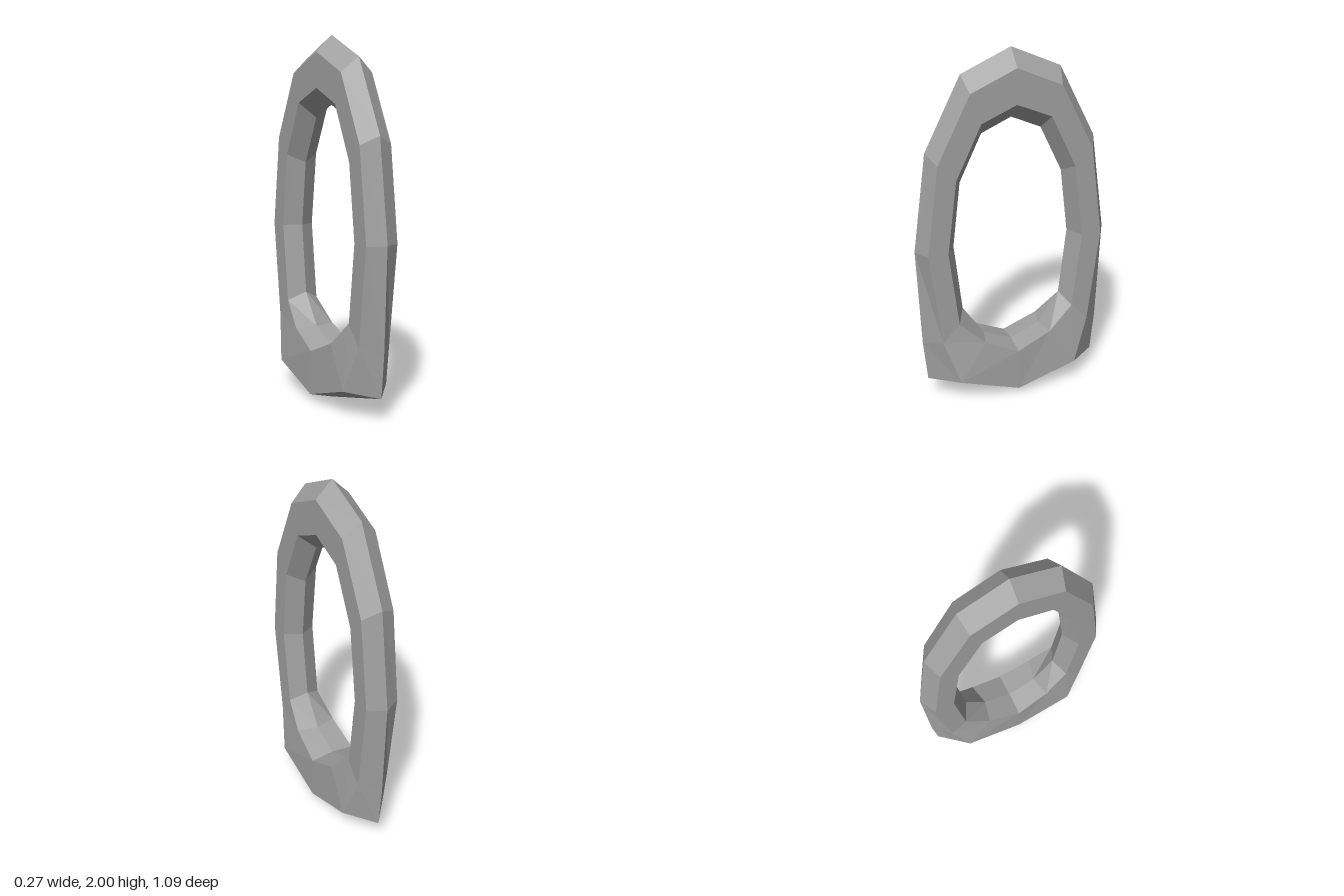
import * as THREE from 'three';

// Half ring from top to bottom, each row a cross-section:
// outer ridge z,y | outer edge z,y,x | inner edge z,y,x | inner ridge z,y
const HALF = [
  [0, 2, 0, 1.91, 0.095, 0, 1.72, 0.095, 0, 1.63],
  [0.272, 1.88, 0.25, 1.8, 0.095, 0.193, 1.638, 0.095, 0.165, 1.557],
  [0.472, 1.483, 0.43, 1.438, 0.095, 0.333, 1.345, 0.095, 0.287, 1.3],
  [0.546, 0.935, 0.495, 0.935, 0.095, 0.385, 0.935, 0.095, 0.33, 0.935],
  [0.523, 0.365, 0.43, 0.4, 0.095, 0.333, 0.5, 0.095, 0.287, 0.548],
  [0.5, 0.13, 0.342, 0.148, 0.137, 0.193, 0.37, 0.12, 0.165, 0.37],
  [0, 0, 0, 0.037, 0.137, 0, 0.282, 0.133, 0, 0.297],
];

// Six-sided cross-section, placed on the +z or -z side
function section([oz, oy, ez, ey, ex, iz, iy, ix, rz, ry], side) {
  return [
    [0, oy, oz * side], [ex, ey, ez * side], [ix, iy, iz * side],
    [0, ry, rz * side], [-ix, iy, iz * side], [-ex, ey, ez * side],
  ];
}

function ringGeometry() {
  const rings = [
    ...HALF.map((row) => section(row, 1)),
    ...HALF.slice(1, -1).reverse().map((row) => section(row, -1)),
  ];
  const positions = [];
  rings.forEach((ring, i) => {
    const next = rings[(i + 1) % rings.length];
    for (let k = 0; k < 6; k++) {
      const m = (k + 1) % 6;
      const [a, b, c, d] = [ring[k], next[k], next[m], ring[m]];
      positions.push(...a, ...b, ...c, ...a, ...c, ...d);
    }
  });
  const geometry = new THREE.BufferGeometry();
  geometry.setAttribute('position', new THREE.Float32BufferAttribute(positions, 3));
  geometry.computeVertexNormals();
  return geometry;
}

export function createModel() {
  const group = new THREE.Group();
  group.name = 'facetedRing';
  const grey = new THREE.MeshStandardMaterial({ color: 0xa0a0a0, flatShading: true });
  grey.name = 'grey';

  // Faceted oval band with a flared base
  const band = new THREE.Mesh(ringGeometry(), grey);
  band.name = 'ringBand';
  group.add(band);
  return group;
}
